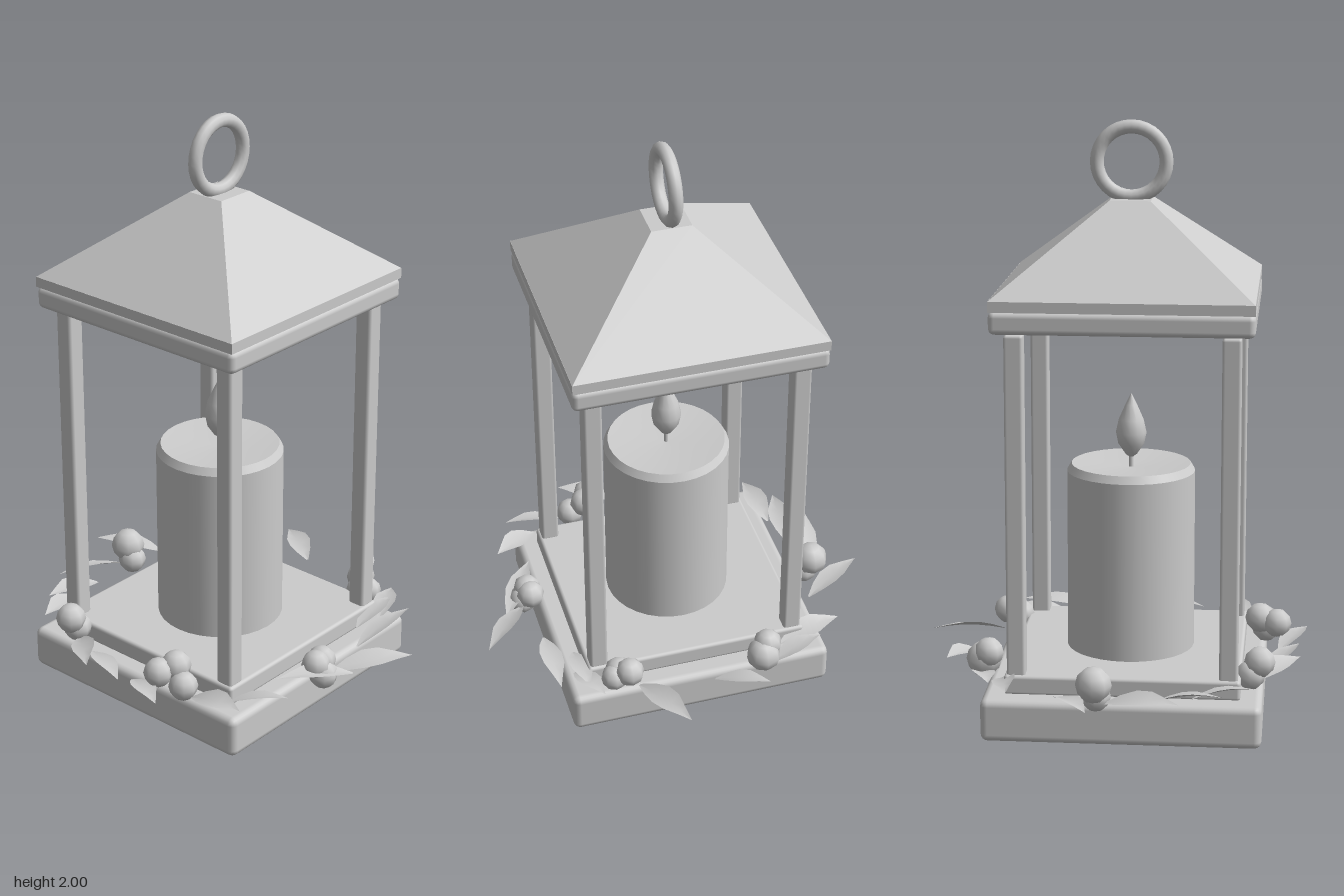
import * as THREE from 'three';
import { RoundedBoxGeometry } from 'three/addons/geometries/RoundedBoxGeometry.js';

const stone = new THREE.MeshStandardMaterial({ color: 0xcccccc, side: THREE.DoubleSide });
stone.name = 'light grey';

function add(parent, name, geometry, x = 0, y = 0, z = 0) {
  const mesh = new THREE.Mesh(geometry, stone);
  mesh.name = name;
  mesh.position.set(x, y, z);
  parent.add(mesh);
  return mesh;
}

// Square slab with rounded edges, from y0 to y1
function slab(parent, name, half, y0, y1, radius) {
  return add(parent, name, new RoundedBoxGeometry(half * 2, y1 - y0, half * 2, 2, radius), 0, (y0 + y1) / 2, 0);
}

// Four-sided flat-shaded frustum
function frustum(topHalf, bottomHalf, height) {
  const g = new THREE.CylinderGeometry(topHalf * Math.SQRT2, bottomHalf * Math.SQRT2, height, 4);
  g.rotateY(Math.PI / 4);
  const flat = g.toNonIndexed();
  flat.computeVertexNormals();
  return flat;
}

const lathe = (points, sides) =>
  new THREE.LatheGeometry(points.map(([r, y]) => new THREE.Vector2(r, y)), sides);

// Pointed leaf from stem to tip, folded along its midrib and slightly arched
function leafGeometry(x0, z0, x1, z1, roll) {
  const widths = [0.004, 0.026, 0.039, 0.036, 0.018, 0];
  const dx = x1 - x0, dz = z1 - z0, len = Math.hypot(dx, dz);
  const pos = [], index = [];
  widths.forEach((w, i) => {
    const t = i / (widths.length - 1);
    const y = 0.168 + 0.014 * Math.sin(t * Math.PI) + 0.03 * t;
    for (const s of [-1, 0, 1]) {
      pos.push(x0 + dx * t - (dz / len) * w * s,
        y + w * (0.25 * Math.abs(s) + roll * s),
        z0 + dz * t + (dx / len) * w * s);
    }
    if (i > 0) for (const k of [0, 1]) {
      const a = (i - 1) * 3 + k, b = a + 3;
      index.push(a, a + 1, b, a + 1, b + 1, b);
    }
  });
  const g = new THREE.BufferGeometry();
  g.setAttribute('position', new THREE.Float32BufferAttribute(pos, 3));
  g.setIndex(index);
  g.computeVertexNormals();
  return g;
}

export function createModel() {
  const model = new THREE.Group();
  model.name = 'candleLantern';
  const lantern = new THREE.Group();
  lantern.name = 'lantern';
  lantern.position.set(-0.05, 0, -0.003);
  model.add(lantern);

  // Stepped base
  slab(lantern, 'base', 0.462, 0, 0.145, 0.025);
  slab(lantern, 'floorPlate', 0.39, 0.14, 0.208, 0.012);

  // Corner posts
  for (const x of [-0.35, 0.35]) for (const z of [-0.35, 0.35]) {
    add(lantern, 'post', new RoundedBoxGeometry(0.062, 1.145, 0.062, 1, 0.01), x, 0.7725, z);
  }

  // Roof
  slab(lantern, 'roofFrame', 0.425, 1.352, 1.427, 0.02);
  add(lantern, 'eaves', new THREE.BoxGeometry(0.848, 0.035, 0.848), 0, 1.443, 0);
  add(lantern, 'roof', frustum(0.068, 0.424, 0.28), 0, 1.6, 0);

  // Carrying ring
  add(lantern, 'ring', new THREE.TorusGeometry(0.115, 0.023, 10, 32), 0, 1.862, 0);

  // Candle with a slightly dished top, wick and flame
  add(lantern, 'candle', lathe([[0, 0.2], [0.217, 0.2], [0.217, 0.2], [0.217, 0.82], [0.217, 0.82],
    [0.202, 0.845], [0.202, 0.845], [0.1, 0.834], [0, 0.83]], 32));
  add(lantern, 'wick', new THREE.CylinderGeometry(0.007, 0.007, 0.06, 8), 0, 0.86, 0);
  add(lantern, 'flame', lathe([[0, 0.86], [0.02, 0.875], [0.044, 0.91], [0.052, 0.95],
    [0.042, 0.995], [0.02, 1.045], [0, 1.085]], 12));

  // Wreath leaves: stem x, z, then tip x, z
  const wreath = new THREE.Group();
  wreath.name = 'wreath';
  model.add(wreath);
  [
    [-0.163, -0.494, -0.385, -0.517], [0.0, -0.525, -0.25, -0.6], [0.16, -0.476, 0.04, -0.694],
    [-0.28, -0.465, -0.49, -0.43], [0.36, -0.3, 0.315, -0.53], [0.44, -0.25, 0.385, -0.44],
    [0.465, -0.03, 0.56, -0.2], [0.42, 0.228, 0.66, 0.113], [0.3, 0.43, 0.46, 0.36],
    [0.1, 0.49, 0.385, 0.495], [-0.08, 0.524, 0.14, 0.694], [-0.045, 0.587, -0.28, 0.45],
    [-0.46, 0.39, -0.345, 0.554], [-0.515, 0.28, -0.51, 0.487], [-0.56, 0.057, -0.655, 0.25],
    [-0.52, -0.17, -0.63, 0.057], [-0.48, -0.27, -0.633, -0.087], [0.2, 0.41, 0.41, 0.4],
  ].forEach(([x0, z0, x1, z1], i) => {
    add(wreath, 'leaf', leafGeometry(x0, z0, x1, z1, [0.2, -0.3, 0.1][i % 3]));
  });

  // Berry clusters
  [
    [0.03, 0.232, -0.525, 0.06], [0.025, 0.185, -0.5, 0.05],
    [0.43, 0.205, -0.215, 0.06], [0.41, 0.235, -0.235, 0.05],
    [-0.5, 0.245, -0.29, 0.052], [-0.47, 0.2, -0.29, 0.05],
    [-0.55, 0.235, 0.165, 0.05], [-0.49, 0.245, 0.19, 0.052], [-0.51, 0.195, 0.24, 0.05],
    [0.41, 0.23, 0.26, 0.05], [0.37, 0.205, 0.29, 0.05], [0.39, 0.2, 0.31, 0.046],
    [-0.13, 0.205, 0.495, 0.05], [-0.115, 0.17, 0.515, 0.05], [-0.095, 0.205, 0.49, 0.05],
  ].forEach(([x, y, z, r]) => add(wreath, 'berry', new THREE.SphereGeometry(r, 8, 6), x, y, z));

  return model;
}
